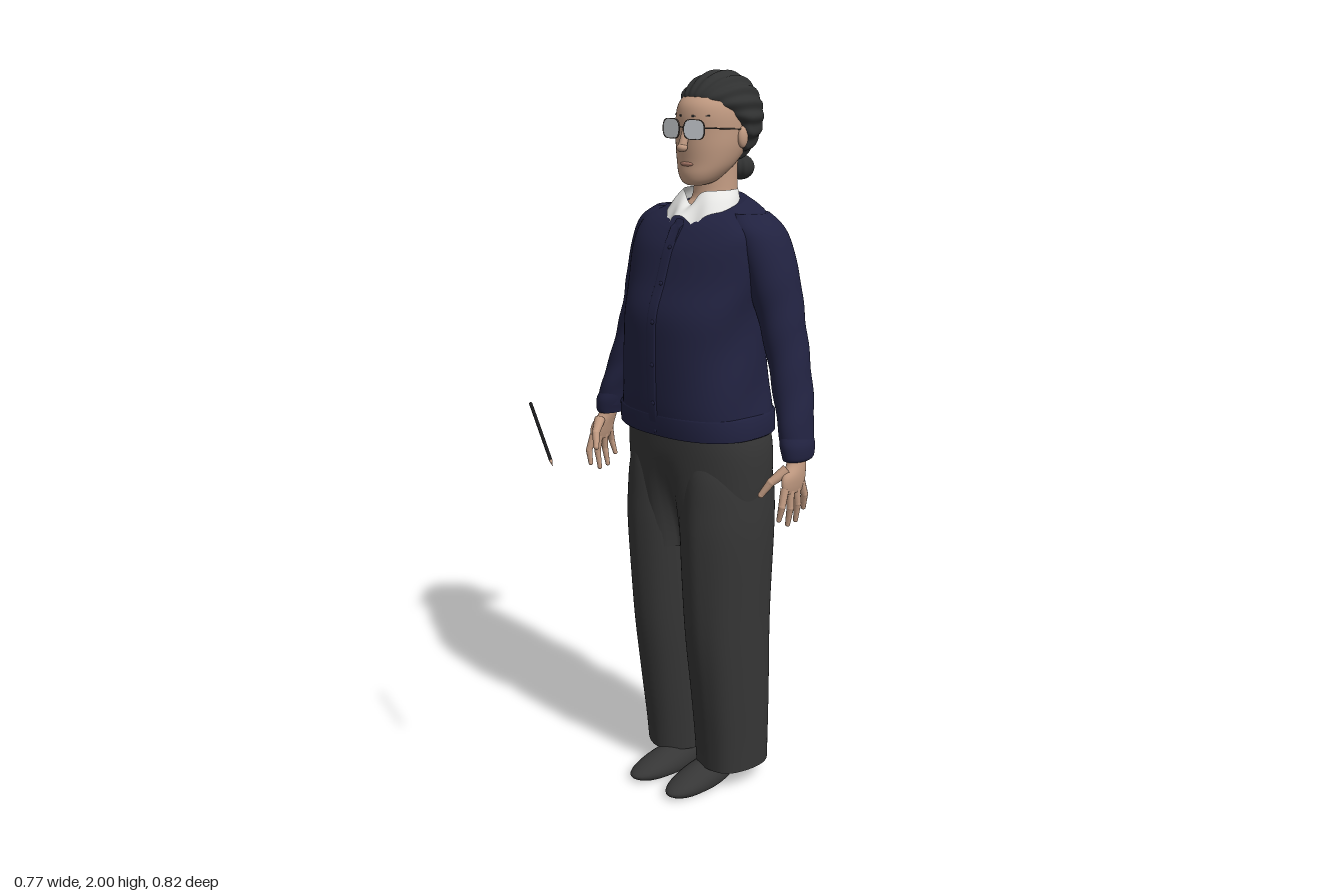
import * as THREE from 'three';

const mat = (name, color, side = THREE.FrontSide) => {
  const m = new THREE.MeshStandardMaterial({ color, side });
  m.name = name;
  return m;
};
const { smoothstep } = THREE.MathUtils;

// Smoothly resample rows of numbers
function smooth(rows, steps = 5) {
  const out = [], n = rows.length;
  for (let i = 0; i < n - 1; i++) {
    const [a, b, c, d] = [rows[Math.max(i - 1, 0)], rows[i], rows[i + 1], rows[Math.min(i + 2, n - 1)]];
    for (let s = 0; s < steps; s++) {
      const t = s / steps;
      out.push(b.map((v, k) => v + 0.5 * t * (c[k] - a[k] + t * (2 * a[k] - 5 * v + 4 * c[k] - d[k]
        + t * (3 * (v - c[k]) + d[k] - a[k])))));
    }
  }
  out.push(rows[n - 1]);
  return out;
}

// Skin over level rings, bottom to top: [y, centre x, half width, front z, back z]
function loft(rows, { seg = 48, p = 2, s = 1, fold = () => 1, lift = () => 0, caps = true } = {}) {
  const pos = [], idx = [], n = rows.length;
  const pw = v => Math.sign(v) * Math.pow(Math.abs(v), 2 / p);
  for (const [y, cx, rx, zf, zb] of rows) {
    for (let j = 0; j < seg; j++) {
      const a = (j / seg) * Math.PI * 2, f = fold(a, y);
      pos.push(cx * s + rx * f * pw(Math.cos(a)), y + lift(a, y), (zf + zb) / 2 + (zf - zb) / 2 * f * pw(Math.sin(a)));
    }
  }
  for (let i = 0; i < n - 1; i++) for (let j = 0; j < seg; j++) {
    const a = i * seg + j, b = i * seg + (j + 1) % seg, c = a + seg, d = b + seg;
    idx.push(a, c, b, b, c, d);
  }
  if (caps) [0, n - 1].forEach((r, top) => {
    const base = pos.length / 3, [y, cx, , zf, zb] = rows[r];
    for (let j = 0; j < seg; j++) pos.push(...pos.slice((r * seg + j) * 3, (r * seg + j) * 3 + 3));
    pos.push(cx * s, y, (zf + zb) / 2);
    for (let j = 0; j < seg; j++) {
      const a = base + j, b = base + (j + 1) % seg;
      idx.push(...(top ? [a, base + seg, b] : [a, b, base + seg]));
    }
  });
  const g = new THREE.BufferGeometry();
  g.setAttribute('position', new THREE.Float32BufferAttribute(pos, 3));
  g.setIndex(idx);
  g.computeVertexNormals();
  return g;
}

// Move every vertex by a rule
function deform(g, rule) {
  const p = g.attributes.position, v = new THREE.Vector3();
  for (let i = 0; i < p.count; i++) {
    rule(v.fromBufferAttribute(p, i));
    p.setXYZ(i, v.x, v.y, v.z);
  }
  g.computeVertexNormals();
  return g;
}

export function createModel() {
  const model = new THREE.Group();
  const skin = mat('skin', 0xc29b82), hairMat = mat('hair', 0x303131), knit = mat('navy knit', 0x212240);
  const cloth = mat('charcoal cloth', 0x363636), white = mat('white cotton', 0xe6e6e4, THREE.DoubleSide);
  const lensMat = mat('lens', 0xe6ebf0), frame = mat('glasses frame', 0x4a423c);
  const black = mat('pencil black', 0x1c1c1e), lipMat = mat('lips', 0xae7d6c);
  const add = (name, g, m) => {
    const mesh = new THREE.Mesh(g, m);
    mesh.name = name;
    model.add(mesh);
    return mesh;
  };
  const ball = (name, m, [x, y, z], [rx, ry, rz]) =>
    add(name, new THREE.SphereGeometry(1, 24, 16).scale(rx, ry, rz).translate(x, y, z), m);
  const rod = (name, m, a, b, r0, r1, sides = 10) => {
    const A = new THREE.Vector3(...a), B = new THREE.Vector3(...b), d = B.clone().sub(A);
    const mesh = add(name, new THREE.CylinderGeometry(r1, r0, d.length(), sides), m);
    mesh.position.copy(A).add(B).multiplyScalar(0.5);
    mesh.quaternion.setFromUnitVectors(new THREE.Vector3(0, 1, 0), d.normalize());
  };

  // Trousers: hips that part into two wide legs with soft folds
  add('hips', loft(smooth([
    [0.72, 0, 0.18, -0.07, -0.33], [0.85, 0, 0.21, -0.054, -0.345], [0.95, 0, 0.219, -0.046, -0.35],
    [1.03, 0, 0.219, -0.042, -0.346], [1.09, 0, 0.208, -0.042, -0.336]]), { seg: 96, p: 2.25,
    fold: (a, y) => 1 - 0.45 * (1 - smoothstep(y, 0.72, 1.02)) * Math.exp(-((Math.cos(a) / 0.14) ** 2)) }), cloth);
  const legRows = smooth([
    [0.058, 0.1, 0.09, -0.132, -0.352], [0.15, 0.101, 0.092, -0.122, -0.35], [0.3, 0.104, 0.096, -0.1, -0.347],
    [0.5, 0.107, 0.102, -0.07, -0.345], [0.75, 0.11, 0.111, -0.05, -0.35], [0.87, 0.11, 0.109, -0.05, -0.35],
    [0.96, 0.108, 0.1, -0.056, -0.34], [1.04, 0.1, 0.085, -0.075, -0.315]]);
  for (const s of [1, -1]) {
    // Outer corners are rounder than the inner ones
    const legFold = (a, y) => 1 + (1.05 - y) * 0.02 * Math.cos(5 * a + s * 1.2 + y * 2)
      - 0.16 * smoothstep(y, 0.1, 0.7) * Math.max(0, s * Math.cos(a)) * Math.abs(Math.sin(a))
      + 0.02 * (1 - smoothstep(y, 0.7, 0.95)) * Math.exp(-(((a - Math.PI / 2) / 0.15) ** 2));
    add('trouserLeg', loft(legRows, { seg: 72, p: 2.25, s, fold: legFold }), cloth);
    // Shoes: flat soles, low toes
    add('shoe', deform(new THREE.SphereGeometry(1, 28, 20), v => {
      const h = 0.05 - 0.022 * v.z;
      v.set(s * (0.066 + 0.006 * v.z) + 0.052 * v.x * (1 + 0.1 * v.z),
        Math.max(0, 0.016 + v.y * h), -0.145 + 0.145 * v.z);
    }), cloth);
  }

  // Cardigan body, hem, placket and buttons
  const body = smooth([
    [1.07, 0, 0.218, -0.018, -0.348], [1.13, 0, 0.212, -0.008, -0.35], [1.2, 0, 0.203, -0.004, -0.342],
    [1.3, 0, 0.193, -0.002, -0.34], [1.39, 0, 0.194, -0.006, -0.337], [1.47, 0, 0.2, -0.035, -0.333],
    [1.55, 0, 0.207, -0.062, -0.326], [1.605, 0, 0.202, -0.086, -0.321], [1.638, 0, 0.17, -0.105, -0.316],
    [1.662, 0, 0.1, -0.127, -0.308]]);
  const tilt = (a, y) => -0.026 * Math.sin(a) * smoothstep(y, 1.54, 1.66);
  const bodyFold = (a, y) => 1 + 0.014 * Math.cos(a) ** 2 * Math.sin(5 * a + y * 26);
  add('cardiganBody', loft(body, { seg: 72, p: 2.35, fold: bodyFold, lift: tilt }), knit);
  add('cardiganHem', loft([
    [1.064, 0, 0.218, -0.017, -0.348], [1.068, 0, 0.223, -0.013, -0.353],
    [1.12, 0, 0.22, -0.007, -0.355], [1.126, 0, 0.208, -0.012, -0.345]], { seg: 72, p: 2.4 }), knit);
  const front = body.filter(r => r[0] < 1.62);
  add('buttonPlacket', loft(front.map(([y, , , zf]) => [y, 0, 0.017, zf + 0.003, zf - 0.02]),
    { seg: 24, p: 5, lift: tilt }), knit);
  for (let i = 1; i < front.length; i += 6) {
    const [y, , , zf] = front[i];
    ball('button', knit, [0.006, y + tilt(Math.PI / 2, y), zf + 0.002], [0.006, 0.006, 0.004]);
  }

  // Sleeves, cuffs and hands
  const sleeve = smooth([
    [1.06, 0.346, 0.036, -0.143, -0.238], [1.12, 0.332, 0.042, -0.147, -0.255], [1.2, 0.306, 0.049, -0.16, -0.274],
    [1.3, 0.275, 0.054, -0.168, -0.288], [1.4, 0.243, 0.06, -0.165, -0.3], [1.5, 0.214, 0.064, -0.155, -0.308],
    [1.58, 0.185, 0.063, -0.15, -0.308], [1.62, 0.163, 0.056, -0.155, -0.3], [1.647, 0.14, 0.04, -0.18, -0.285]]);
  const fingers = [
    [[-0.128, 0.97], [-0.113, 0.925], [-0.112, 0.888]], [[-0.15, 0.965], [-0.147, 0.915], [-0.148, 0.868]],
    [[-0.172, 0.968], [-0.177, 0.92], [-0.18, 0.872]], [[-0.192, 0.978], [-0.204, 0.94], [-0.211, 0.9]]];
  for (const s of [1, -1]) {
    add('sleeve', loft(sleeve, { s, fold: (a, y) => 1 + 0.025 * Math.sin(y * 55 + 2 * a) * (1 - smoothstep(y, 1.4, 1.55)) }), knit);
    add('cuff', loft(smooth([
      [1.035, 0.348, 0.03, -0.145, -0.235], [1.045, 0.35, 0.034, -0.14, -0.242], [1.075, 0.345, 0.039, -0.138, -0.247],
      [1.1, 0.337, 0.037, -0.146, -0.247]]), { s }), knit);
    add('palm', loft(smooth([
      [0.955, 0.362, 0.009, -0.125, -0.195], [0.975, 0.361, 0.014, -0.118, -0.204], [1.0, 0.359, 0.018, -0.122, -0.208],
      [1.03, 0.354, 0.02, -0.148, -0.212], [1.07, 0.347, 0.021, -0.158, -0.213]]), { s, seg: 24 }), skin);
    fingers.forEach(f => {
      const [a, b, c] = f.map(([z, y], k) => [s * (0.361 + [0, 0.004, -0.004][k]), y, z]);
      rod('finger', skin, a, b, 0.0115, 0.0095);
      rod('finger', skin, b, c, 0.0095, 0.0065);
      ball('knuckle', skin, b, [0.0095, 0.0095, 0.0095]);
      ball('fingertip', skin, c, [0.0065, 0.0065, 0.0065]);
    });
    const [t0, t1, t2] = [[0.352, 1.015, -0.145], [0.33, 0.985, -0.108], [0.311, 0.95, -0.092]]
      .map(([x, y, z]) => [s * x, y, z]);
    rod('thumb', skin, t0, t1, 0.016, 0.011);
    rod('thumb', skin, t1, t2, 0.011, 0.008);
    ball('thumbJoint', skin, t1, [0.011, 0.011, 0.011]);
    ball('thumbTip', skin, t2, [0.008, 0.008, 0.008]);
  }

  // Neck and open shirt collar with two points
  add('neck', loft(smooth([[1.62, 0, 0.075, -0.14, -0.3], [1.66, 0, 0.066, -0.16, -0.302], [1.69, 0, 0.058, -0.185, -0.303],
    [1.8, 0, 0.055, -0.19, -0.305]])), skin);
  add('collar', loft(smooth([[1.655, 0, 0.097, -0.102, -0.298], [1.68, 0, 0.084, -0.126, -0.3],
    [1.7, 0, 0.068, -0.15, -0.302]]), { seg: 96, caps: false, lift: (a, y) => {
    const drop = (1.7 - y) / 0.045, x = Math.abs(Math.cos(a) * 0.1);
    if (Math.sin(a) < 0) return 0;
    return -drop * (0.016 * Math.sin(a) + 0.024 * Math.exp(-(((x - 0.045) / 0.02) ** 2)))
      - (1 - drop) * 0.036 * Math.exp(-((x / 0.032) ** 2));
  } }), white);

  // Head and face
  add('head', loft(smooth([
    [1.713, 0, 0.024, -0.146, -0.195], [1.722, 0, 0.043, -0.135, -0.225], [1.742, 0, 0.06, -0.13, -0.255],
    [1.77, 0, 0.075, -0.131, -0.29], [1.81, 0, 0.086, -0.129, -0.325], [1.85, 0, 0.09, -0.129, -0.345],
    [1.89, 0, 0.091, -0.129, -0.355], [1.92, 0, 0.085, -0.138, -0.352], [1.945, 0, 0.071, -0.165, -0.335],
    [1.965, 0, 0.045, -0.2, -0.31], [1.975, 0, 0.025, -0.22, -0.3]]), { p: 2.1 }), skin);
  rod('noseBridge', skin, [0, 1.87, -0.134], [0, 1.813, -0.117], 0.008, 0.012, 16);
  ball('noseTip', skin, [0, 1.81, -0.115], [0.015, 0.011, 0.014]);
  ball('mouth', lipMat, [0, 1.768, -0.133], [0.022, 0.006, 0.006]);

  // Swept back hair with combed strands, tie and low bun
  add('hair', deform(new THREE.SphereGeometry(1, 144, 40).rotateX(Math.PI / 2), v => {
    const round = Math.hypot(v.x, v.y), a = Math.atan2(v.y, v.x);
    const strand = 1 + 0.035 * round * (Math.cos(18 * a) - 0.4);
    const low = v.y < 0 && v.z < 0 ? 0.124 : 0.116;
    const y = 1.884 + low * v.y * strand;
    const reach = v.z > 0 ? 0.124 * (0.2 + 0.8 * smoothstep(y, 1.84, 1.945)) : 0.113;
    v.set(0.112 * v.x * strand, y, -0.262 + reach * v.z);
  }), hairMat);
  ball('hairTie', skin, [-0.022, 1.793, -0.358], [0.03, 0.026, 0.026]);
  add('bun', deform(new THREE.SphereGeometry(1, 64, 20), v => {
    const k = 1 + 0.04 * Math.cos(12 * Math.atan2(v.z, v.x));
    v.set(-0.027 + 0.038 * v.x * k, 1.744 + 0.034 * v.y, -0.374 + 0.036 * v.z * k);
  }), hairMat);

  // Glasses, brows and ears
  const outline = (w, h, r) => new THREE.Shape().moveTo(-w + r, -h).lineTo(w - r, -h).quadraticCurveTo(w, -h, w, -h + r)
    .lineTo(w, h - r).quadraticCurveTo(w, h, w - r, h).lineTo(-w + r, h).quadraticCurveTo(-w, h, -w, h - r)
    .lineTo(-w, -h + r).quadraticCurveTo(-w, -h, -w + r, -h);
  const rim = outline(0.033, 0.0255, 0.023);
  rim.holes.push(outline(0.031, 0.0235, 0.021));
  for (const s of [1, -1]) {
    const plate = (shape, depth) => new THREE.ExtrudeGeometry(shape, { depth, bevelEnabled: false, curveSegments: 8 })
      .rotateY(s * 0.12).translate(s * 0.04, 1.857, -0.119);
    add('lens', plate(outline(0.031, 0.0235, 0.021), 0.003), lensMat);
    add('rim', plate(rim, 0.004), frame);
    rod('temple', frame, [s * 0.072, 1.862, -0.12], [s * 0.093, 1.855, -0.24], 0.0018, 0.0018, 8);
    rod('eyebrow', hairMat, [s * 0.018, 1.889, -0.131], [s * 0.06, 1.89, -0.154], 0.003, 0.002, 8);
    ball('ear', skin, [s * 0.091, 1.835, -0.247], [0.011, 0.028, 0.017]);
  }
  rod('bridge', frame, [-0.009, 1.862, -0.112], [0.009, 1.862, -0.112], 0.0018, 0.0018, 8);

  // Floating pencil with a bare wood point
  rod('pencil', black, [-0.092, 1.2, 0.335], [0.062, 1.097, 0.405], 0.0042, 0.0042, 6);
  rod('pencilPoint', skin, [0.062, 1.097, 0.405], [0.075, 1.088, 0.411], 0.0042, 0.0005, 6);

  return model;
}
